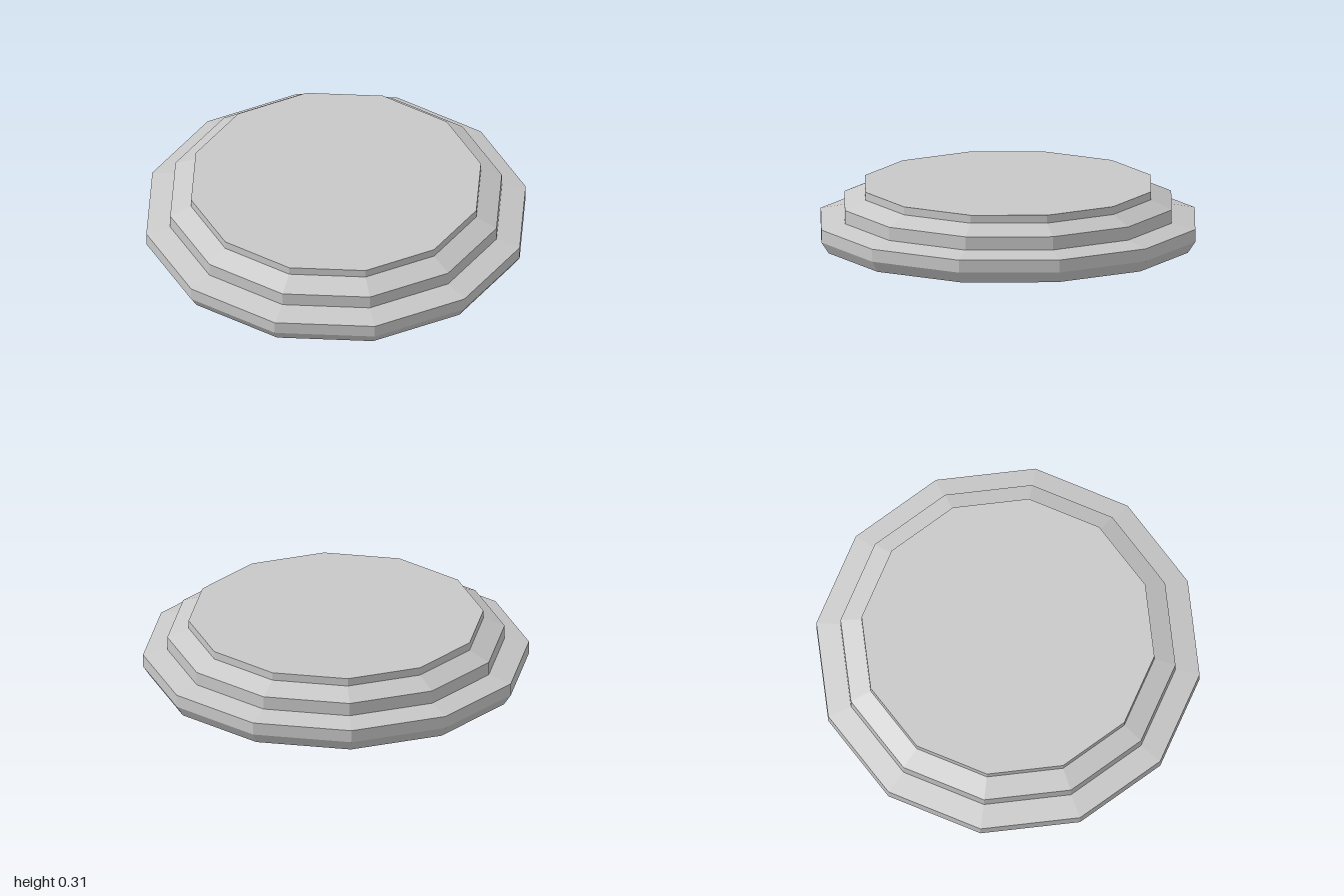
import * as THREE from 'three';

const SIDES = 12;
const stone = new THREE.MeshStandardMaterial({ color: 0xc8c8c8, flatShading: true });
stone.name = 'light grey stone';

// A faceted ring wall swept from a bottom-to-top profile of [radius, height]
function tier(name, profile) {
  const points = profile.map(([r, y]) => new THREE.Vector2(r, y));
  const mesh = new THREE.Mesh(new THREE.LatheGeometry(points, SIDES), stone);
  mesh.name = name;
  return mesh;
}

// A flat twelve-sided cap facing up or down
function cap(name, radius, y, up) {
  const geometry = new THREE.CircleGeometry(radius, SIDES);
  geometry.rotateX(up ? -Math.PI / 2 : Math.PI / 2).translate(0, y, 0);
  const mesh = new THREE.Mesh(geometry, stone);
  mesh.name = name;
  return mesh;
}

export function createModel() {
  const model = new THREE.Group();
  model.name = 'steppedPedestal';
  model.add(
    cap('underside', 0.96, 0, false),
    // Wide foot, undercut at the ground, with a gently sloping ledge
    tier('foot', [[0.96, 0], [1, 0.06], [1, 0.126], [0.874, 0.152]]),
    // Middle step with a steeper bevel
    tier('middleStep', [[0.874, 0.152], [0.874, 0.222], [0.764, 0.27]]),
    // Upright rim and flat top
    tier('topRim', [[0.764, 0.27], [0.764, 0.312]]),
    cap('topSurface', 0.764, 0.312, true),
  );
  return model;
}
